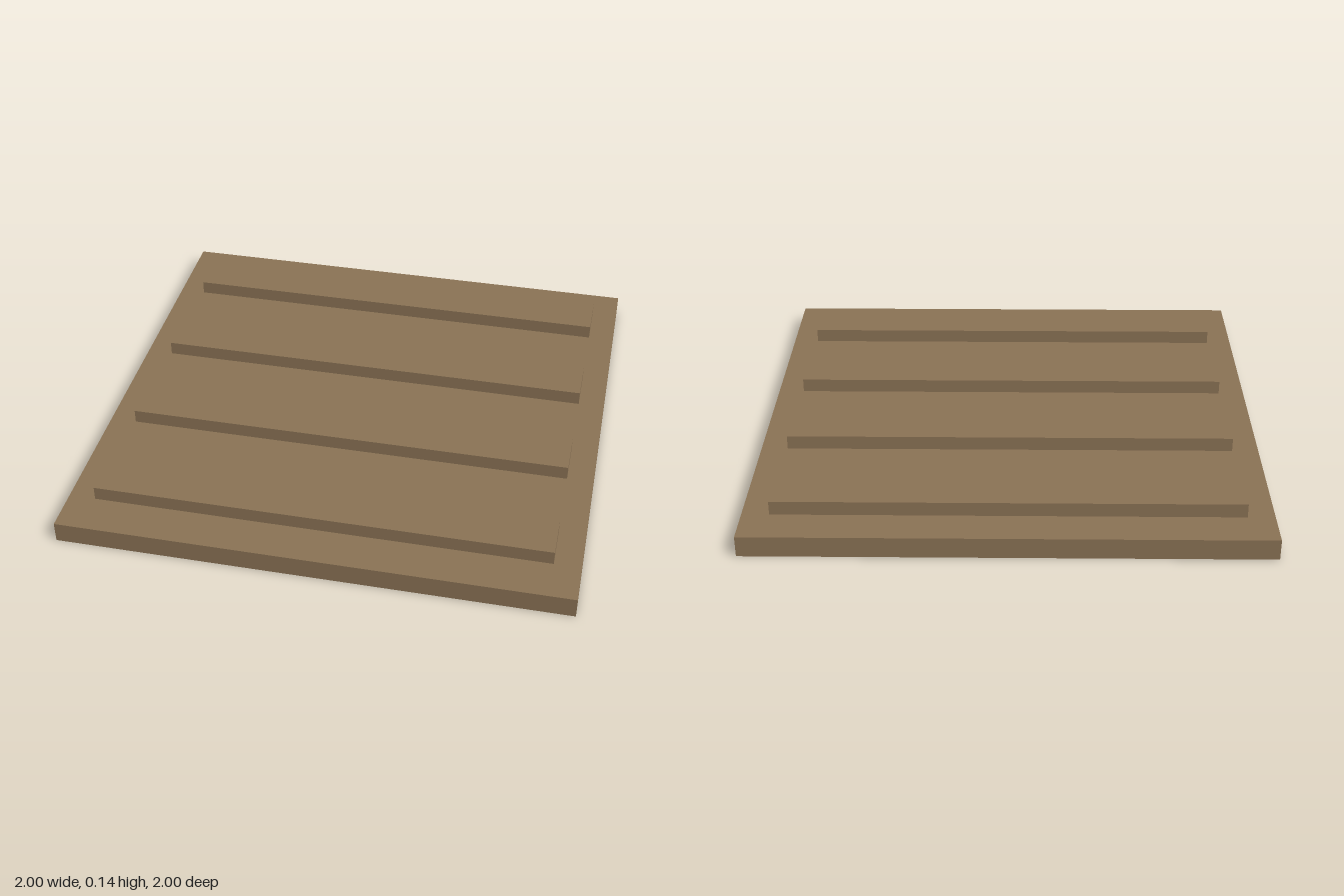
import * as THREE from 'three';

const BASE_HEIGHT = 0.083;
const SLAT = { length: 1.79, height: 0.056, width: 0.188 };

export function createModel() {
  const model = new THREE.Group();
  model.name = 'slattedPanel';

  const wood = new THREE.MeshStandardMaterial({ color: 0x8b7355 });
  wood.name = 'brownWood';

  function addBox(name, width, height, depth, bottom, z) {
    const mesh = new THREE.Mesh(new THREE.BoxGeometry(width, height, depth), wood);
    mesh.name = name;
    mesh.position.set(0, bottom + height / 2, z);
    model.add(mesh);
  }

  // Square base board
  addBox('baseBoard', 2, BASE_HEIGHT, 2, 0, 0);

  // Four evenly spaced raised slats, set slightly towards the back
  for (let i = 0; i < 4; i++) {
    addBox(`slat${i + 1}`, SLAT.length, SLAT.height, SLAT.width, BASE_HEIGHT, -0.75 + i * 0.495);
  }

  return model;
}
